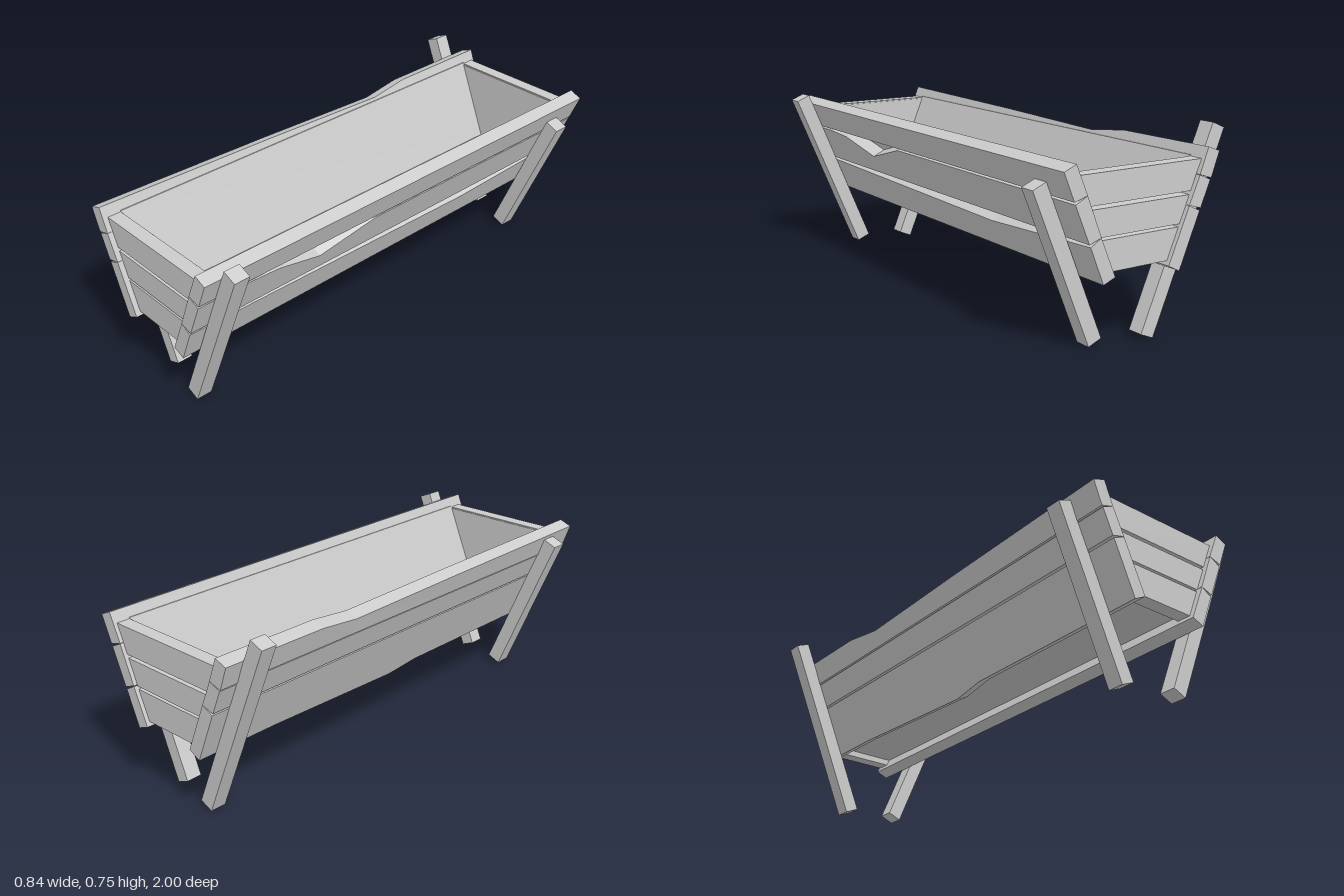
import * as THREE from 'three';

const SLOPE = 0.42; // sideways lean of walls and legs per unit of height
const material = new THREE.MeshStandardMaterial({ color: 0xcccccc, flatShading: true, side: THREE.DoubleSide });

// Prism along z. corners: outerTop, innerTop, innerBottom, outerBottom as [x, y].
// stations: [z, top shift, bottom shift]; the shifts run along the leaning wall.
function prism(name, corners, stations, lean = 0) {
  const rings = stations.map(([z, top = 0, bottom = 0]) => corners.map(([x, y], i) => {
    const d = i < 2 ? top : bottom;
    return [x + lean * d, y + d, z];
  }));
  let area = 0;
  corners.forEach(([x, y], i) => {
    const [nx, ny] = corners[(i + 1) % 4];
    area += x * ny - nx * y;
  });
  if (area < 0) rings.forEach((r) => r.reverse());
  const positions = [];
  const quad = (a, b, c, d) => positions.push(...a, ...b, ...c, ...a, ...c, ...d);
  for (let s = 0; s < rings.length - 1; s++) {
    for (let i = 0; i < 4; i++) {
      const j = (i + 1) % 4;
      quad(rings[s][i], rings[s][j], rings[s + 1][j], rings[s + 1][i]);
    }
  }
  const [a, b, c, d] = rings[0];
  quad(d, c, b, a);
  quad(...rings[rings.length - 1]);
  const geometry = new THREE.BufferGeometry();
  geometry.setAttribute('position', new THREE.Float32BufferAttribute(positions, 3));
  geometry.computeVertexNormals();
  const mesh = new THREE.Mesh(geometry, material);
  mesh.name = name;
  return mesh;
}

export function createModel() {
  const group = new THREE.Group();
  const straight = [[-1], [1]];

  // Wall planks, some with worn or sagging edges
  const leftPlanks = [
    { corners: [[-0.329, 0.668], [-0.277, 0.687], [-0.241, 0.592], [-0.295, 0.575]],
      stations: [[-1], [-0.55, -0.003], [-0.37, -0.025], [0.2, -0.012], [1]] },
    { corners: [[-0.291, 0.57], [-0.241, 0.591], [-0.196, 0.488], [-0.25, 0.473]], stations: straight },
    { corners: [[-0.246, 0.465], [-0.196, 0.487], [-0.11, 0.284], [-0.16, 0.259]],
      stations: [[-1], [-0.64], [0, 0, -0.02], [0.15], [1]] },
  ];
  const rightPlanks = [
    { corners: [[0.35, 0.666], [0.3, 0.687], [0.252, 0.578], [0.306, 0.562]], stations: straight },
    { corners: [[0.302, 0.553], [0.252, 0.577], [0.191, 0.429], [0.241, 0.411]],
      stations: [[-1], [0.17], [0.43, -0.068], [0.64, -0.01], [0.78], [1]] },
    { corners: [[0.236, 0.402], [0.191, 0.428], [0.128, 0.284], [0.178, 0.264]],
      stations: [[-1], [-0.4, -0.034], [1]] },
  ];
  // the model's own left is +x
  leftPlanks.forEach((p, i) => group.add(prism(`rightWallPlank${i + 1}`, p.corners, p.stations, -SLOPE)));
  rightPlanks.forEach((p, i) => group.add(prism(`leftWallPlank${i + 1}`, p.corners, p.stations, SLOPE)));

  // Inner faces of the walls as x at a height
  const xMinus = (y) => -0.277 + (0.687 - y) * SLOPE;
  const xPlus = (y) => 0.3 - (0.687 - y) * 0.428;

  // End planks, fitted between the walls
  [[0.3, 0.414], [0.424, 0.523], [0.536, 0.645]].forEach(([low, high], i) => {
    const corners = [[xMinus(high), high], [xPlus(high), high], [xPlus(low), low], [xMinus(low), low]];
    group.add(prism(`frontEndPlank${i + 1}`, corners, [[0.925], [0.98]]));
    group.add(prism(`backEndPlank${i + 1}`, corners, [[-0.985], [-0.93]]));
  });

  // Thin smooth lining: two sides, two ends and the floor
  const floorY = 0.33, topY = 0.65, t = 0.004, lining = [[-0.93], [0.925]];
  for (const [name, x, dir] of [['rightLining', xMinus, 1], ['leftLining', xPlus, -1]]) {
    group.add(prism(name, [
      [x(topY), topY], [x(topY) + dir * t, topY],
      [x(floorY) + dir * t, floorY], [x(floorY), floorY],
    ], lining));
  }
  const endCorners = [[xMinus(0.64), 0.64], [xPlus(0.64), 0.64], [xPlus(floorY), floorY], [xMinus(floorY), floorY]];
  group.add(prism('frontLining', endCorners, [[0.921], [0.925]]));
  group.add(prism('backLining', endCorners, [[-0.93], [-0.926]]));
  group.add(prism('floor', [
    [xMinus(floorY), floorY], [xPlus(floorY), floorY],
    [xPlus(floorY - t), floorY - t], [xMinus(floorY - t), floorY - t],
  ], lining));

  // Leaning legs of uneven length; height is that of the upper corner
  const legs = [
    ['frontRightLeg', -1, 0.06, 0.65, 0.81, 0.875],
    ['backRightLeg', -1, 0.06, 0.755, -0.925, -0.86],
    ['frontLeftLeg', 1, 0.08, 0.705, 0.865, 0.93],
    ['backLeftLeg', 1, 0.08, 0.61, -0.875, -0.81],
  ];
  for (const [name, side, foot, height, z0, z1] of legs) {
    const lean = side * SLOPE, rise = height - 0.023;
    const inner = [side * foot, 0.023], outer = [side * (foot + 0.055), 0];
    const raise = ([x, y]) => [x + lean * rise, y + rise];
    group.add(prism(name, [raise(outer), raise(inner), inner, outer], [[z0], [z1]]));
  }
  return group;
}
